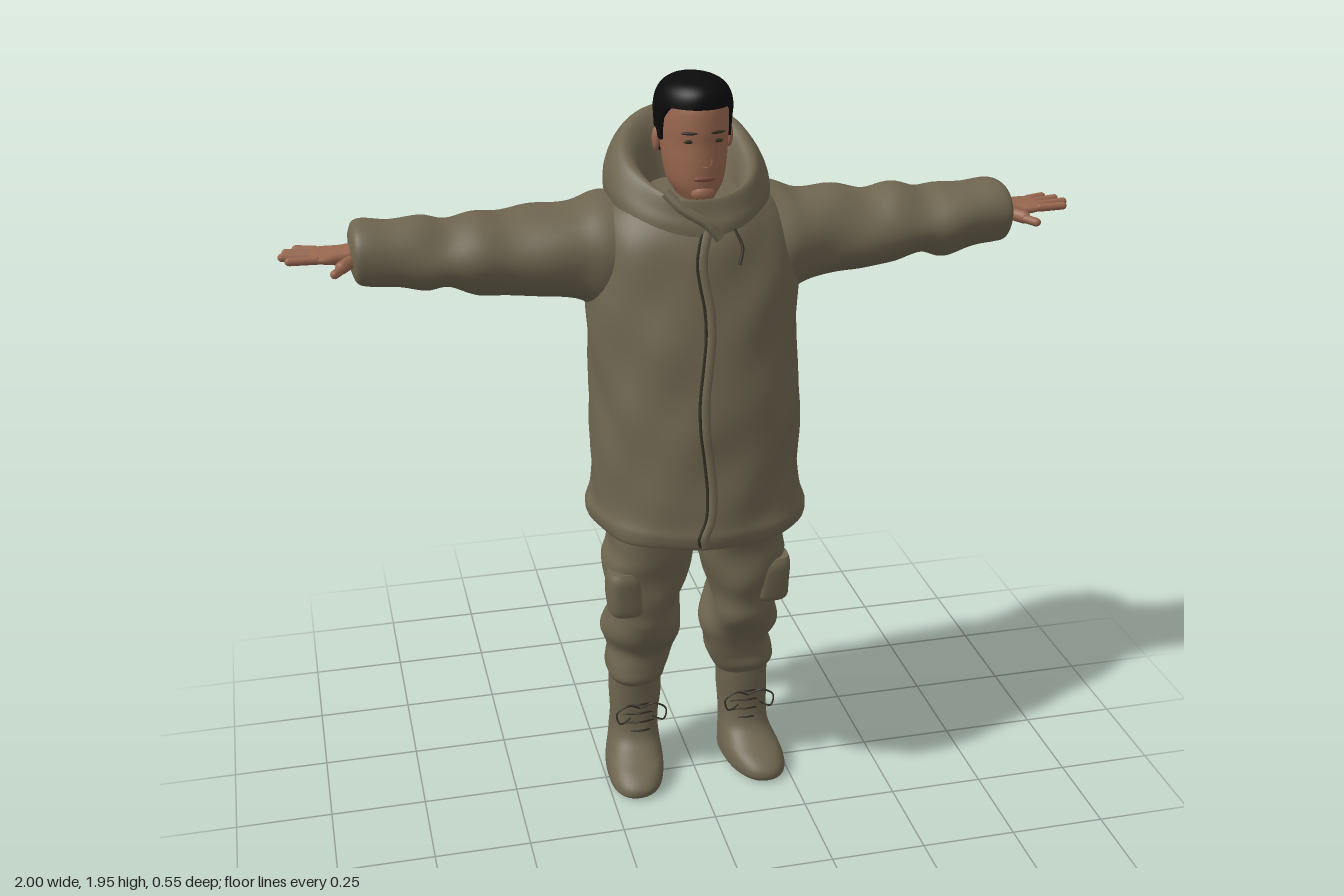
import * as THREE from 'three';

const mat = (name, color, side = THREE.FrontSide) => {
  const m = new THREE.MeshStandardMaterial({ color, side });
  m.name = name;
  return m;
};

// Catmull-Rom sample of a section list at position f (in section units)
function sample(secs, f) {
  const i = Math.min(Math.floor(f), secs.length - 2), t = f - i;
  const at = (k) => secs[Math.max(0, Math.min(secs.length - 1, k))];
  const [a, b, c, d] = [at(i - 1), at(i), at(i + 1), at(i + 2)];
  return b.map((_, k) => b[k] + 0.5 * t * (c[k] - a[k] + t * (2 * a[k] - 5 * b[k] + 4 * c[k] - d[k]
    + t * (3 * (b[k] - c[k]) + d[k] - a[k]))));
}

// Soft cloth folds as a smooth function of position
const folds = (x, y, z) =>
  0.5 * Math.sin(19 * y + 9 * x + 4 * Math.sin(7 * z + 5 * x)) +
  0.35 * Math.sin(31 * x - 17 * y + 13 * z) + 0.3 * Math.sin(43 * z + 37 * y - 11 * x);

// Skin over sections [t, u0, u1, v0, v1, tilt]; axis 'y' uses (u,v)=(x,z), axis 'x' uses (y,z)
function loft(secs, { axis = 'y', n = 40, sub = 5, exp = 2, amp = 0, side = 1, warp, cap = true } = {}) {
  const pos = [], idx = [], rows = (secs.length - 1) * sub;
  const ring = (s, k) => {
    const [t, u0, u1, v0, v1, tilt] = s;
    for (let j = 0; j < n; j++) {
      const a = (j / n) * Math.PI * 2, c = Math.cos(a), q = Math.sin(a);
      const cu = Math.sign(c) * Math.abs(c) ** (2 / exp), cv = Math.sign(q) * Math.abs(q) ** (2 / exp);
      let u = (u0 + u1) / 2 + k * cu * (u1 - u0) / 2, v = (v0 + v1) / 2 + k * cv * (v1 - v0) / 2;
      const w = t + (tilt || 0) * (v - (v0 + v1) / 2);
      const d = k * amp * (axis === 'y' ? folds(u * side, w, v) : folds(w * side, u, v));
      u += c * d; v += q * d;
      const p = axis === 'y' ? new THREE.Vector3(u * side, w, v) : new THREE.Vector3(w * side, u, v);
      if (warp) warp(p);
      pos.push(p.x, p.y, p.z);
    }
  };
  if (cap) { ring(secs[0], 0); ring(secs[0], 1); }
  for (let i = 0; i <= rows; i++) ring(sample(secs, i / sub), 1);
  if (cap) { ring(secs.at(-1), 1); ring(secs.at(-1), 0); }
  const flip = (axis === 'y') !== (side < 0);
  for (let i = 0; i < pos.length / 3 / n - 1; i++) {
    for (let j = 0; j < n; j++) {
      const a = i * n + j, b = i * n + (j + 1) % n, c = a + n, d = b + n;
      if (flip) idx.push(a, c, b, b, c, d);
      else idx.push(a, b, c, b, d, c);
    }
  }
  const g = new THREE.BufferGeometry();
  g.setAttribute('position', new THREE.Float32BufferAttribute(pos, 3));
  g.setIndex(idx);
  g.computeVertexNormals();
  return g;
}

const sym = (y, rx, z0, z1, tilt = 0) => [y, -rx, rx, z0, z1, tilt];

export function createModel() {
  const root = new THREE.Group();
  root.name = 'manInParka';
  const cloth = mat('olive cloth', 0x6e6550, THREE.DoubleSide);
  const dark = mat('dark seam', 0x353026);
  const skin = mat('skin', 0x98674f);
  const lip = mat('lips', 0x7c4a3c);
  const black = mat('black hair', 0x0b0b0c, THREE.DoubleSide);
  const add = (name, geo, m) => {
    const mesh = new THREE.Mesh(geo, m);
    mesh.name = name;
    root.add(mesh);
    return mesh;
  };
  const tube = (name, pts, r, m) => add(name, new THREE.TubeGeometry(
    new THREE.CatmullRomCurve3(pts.map((p) => new THREE.Vector3(...p))), pts.length * 5, r, 6), m);
  const blob = (name, p, s, m) => {
    const mesh = add(name, new THREE.SphereGeometry(1, 14, 10), m);
    mesh.position.set(...p);
    mesh.scale.set(...s);
    return mesh;
  };

  // Coat body with a puffed hem
  const coat = [
    sym(0.825, 0.255, -0.225, 0.245), sym(0.818, 0.275, -0.245, 0.265), sym(0.85, 0.282, -0.255, 0.272),
    sym(0.90, 0.27, -0.245, 0.262), sym(1.05, 0.267, -0.247, 0.25), sym(1.2, 0.266, -0.248, 0.228),
    sym(1.36, 0.265, -0.25, 0.2), sym(1.48, 0.265, -0.25, 0.17), sym(1.57, 0.25, -0.248, 0.145),
    sym(1.63, 0.215, -0.235, 0.11), sym(1.665, 0.15, -0.2, 0.08)];
  add('coatBody', loft(coat, { n: 64, sub: 8, exp: 2.15, amp: 0.006 }), cloth);

  // Front closure line following the coat surface
  const seam = [];
  for (let f = 1.5; f <= 8.6; f += 0.5) {
    const [y, , rx, z0, z1] = sample(coat, f), x = -0.05 + 0.01 * Math.sin(f * 2.3) + 0.004 * f;
    const z = (z0 + z1) / 2 + (z1 - z0) / 2 * (1 - Math.abs(x / rx) ** 2.15) ** (1 / 2.15);
    seam.push([x, y, z + 0.006 * folds(x, y, z)]);
  }
  tube('coatClosure', seam, 0.004, dark);
  tube('closureFlap', seam.map(([x, y, z]) => [x + 0.014, y, z - 0.002]), 0.012, cloth);

  // Hood lying open around the neck: outside, rolled lip, inside
  add('hood', loft([
    sym(1.53, 0.16, -0.25, 0.12, -0.1), sym(1.60, 0.195, -0.27, 0.135, -0.2), sym(1.67, 0.203, -0.275, 0.135, -0.3),
    sym(1.72, 0.19, -0.262, 0.125, -0.42), sym(1.75, 0.165, -0.23, 0.118, -0.46), sym(1.742, 0.14, -0.2, 0.11, -0.46),
    sym(1.70, 0.118, -0.17, 0.1, -0.42), sym(1.62, 0.095, -0.13, 0.08, -0.3)],
  { n: 56, sub: 7, exp: 2.1, amp: 0.005, cap: false }), cloth);
  tube('collarOverlap', [[-0.09, 1.69, 0.092], [-0.055, 1.655, 0.118], [0, 1.62, 0.138], [0.03, 1.585, 0.142]], 0.014, cloth);
  tube('drawcord', [[0.07, 1.6, 0.125], [0.085, 1.56, 0.146], [0.075, 1.52, 0.158]], 0.004, dark);

  // Head
  add('head', loft([
    sym(1.56, 0.06, -0.1, 0.04), sym(1.645, 0.056, -0.09, 0.055), sym(1.662, 0.045, -0.09, 0.092),
    sym(1.70, 0.066, -0.1, 0.107), sym(1.75, 0.076, -0.11, 0.11), sym(1.80, 0.081, -0.12, 0.107),
    sym(1.84, 0.083, -0.12, 0.108), sym(1.89, 0.08, -0.115, 0.1), sym(1.92, 0.06, -0.08, 0.07)],
  { exp: 2.1 }), skin);
  add('nose', loft([
    sym(1.83, 0.009, 0.08, 0.108), sym(1.795, 0.011, 0.08, 0.121), sym(1.768, 0.018, 0.08, 0.135),
    sym(1.752, 0.013, 0.08, 0.115)], { n: 14 }), skin);
  blob('mouth', [0, 1.722, 0.106], [0.026, 0.007, 0.007], lip);
  blob('chin', [0, 1.685, 0.092], [0.03, 0.022, 0.02], skin);

  // Hair cap cut along a hairline: high brow, sideburns, low nape
  const hairline = (z) => z > 0.06 ? 1.888 : z > 0.025 ? 1.85 + (z - 0.025) * 1.08
    : z > -0.01 ? 1.80 : Math.max(1.715, 1.80 + (z + 0.01) * 0.75);
  add('hair', loft([
    sym(1.70, 0.074, -0.115, 0.09), sym(1.76, 0.086, -0.128, 0.1), sym(1.84, 0.093, -0.133, 0.106),
    sym(1.885, 0.094, -0.13, 0.113), sym(1.92, 0.082, -0.113, 0.107), sym(1.941, 0.056, -0.08, 0.08),
    sym(1.95, 0.015, -0.03, 0.03)],
  { n: 48, sub: 6, warp: (p) => { p.y = Math.max(p.y, hairline(p.z)); } }), black);

  for (const s of [1, -1]) {
    const side = s > 0 ? 'left' : 'right';
    const capsule = (name, a, b, r) => {
      const p = new THREE.Vector3(a[0] * s, a[1], a[2]), q = new THREE.Vector3(b[0] * s, b[1], b[2]);
      const d = q.clone().sub(p);
      const mesh = add(name, new THREE.CapsuleGeometry(r, Math.max(0.001, d.length() - 2 * r), 4, 10), skin);
      mesh.position.copy(p).add(q).multiplyScalar(0.5);
      mesh.quaternion.setFromUnitVectors(new THREE.Vector3(0, 1, 0), d.normalize());
    };

    // Face features
    blob(side + 'Ear', [s * 0.09, 1.795, -0.015], [0.01, 0.03, 0.017], skin);
    blob(side + 'Eye', [s * 0.034, 1.812, 0.098], [0.014, 0.005, 0.004], dark);
    blob(side + 'Brow', [s * 0.034, 1.832, 0.099], [0.021, 0.004, 0.005], dark).rotation.y = s * 0.3;

    // Sleeve with gathered cuff
    add(side + 'Sleeve', loft([
      [0.12, 1.39, 1.645, -0.2, 0.06], [0.22, 1.37, 1.65, -0.225, 0.08], [0.29, 1.395, 1.632, -0.215, 0.07],
      [0.38, 1.412, 1.628, -0.205, 0.058], [0.46, 1.42, 1.615, -0.195, 0.052], [0.53, 1.428, 1.626, -0.19, 0.052],
      [0.60, 1.452, 1.612, -0.17, 0.046], [0.66, 1.442, 1.622, -0.168, 0.048], [0.73, 1.46, 1.622, -0.15, 0.042],
      [0.79, 1.468, 1.63, -0.142, 0.042], [0.82, 1.478, 1.622, -0.132, 0.036], [0.832, 1.51, 1.595, -0.105, 0.01]],
    { axis: 'x', amp: 0.007, side: s }), cloth);

    // Hand, palm down
    add(side + 'Palm', loft([
      [0.80, 1.525, 1.58, -0.085, -0.01], [0.85, 1.53, 1.572, -0.085, -0.005], [0.885, 1.537, 1.568, -0.098, 0.005],
      [0.915, 1.543, 1.565, -0.098, 0.002], [0.925, 1.548, 1.56, -0.09, -0.008]],
    { axis: 'x', n: 20, exp: 2.5, side: s }), skin);
    [[0.965, -0.1], [0.99, -0.075], [1.0, -0.042], [0.985, -0.006]].forEach(([x, z], i) =>
      capsule(side + 'Finger' + (i + 1), [0.9, 1.554, -0.085 + i * 0.026], [x, 1.556, z], 0.0105));
    capsule(side + 'ThumbBase', [0.825, 1.548, -0.01], [0.865, 1.543, 0.042], 0.016);
    capsule(side + 'ThumbTip', [0.85, 1.543, 0.03], [0.88, 1.54, 0.075], 0.011);

    // Trouser leg, bunched at the knee and shin
    add(side + 'TrouserLeg', loft([
      [0.285, 0.075, 0.222, -0.152, 0.0], [0.31, 0.065, 0.234, -0.168, 0.022], [0.345, 0.05, 0.232, -0.17, 0.024],
      [0.39, 0.042, 0.224, -0.17, 0.03], [0.44, 0.03, 0.238, -0.175, 0.055], [0.5, 0.042, 0.226, -0.16, 0.085],
      [0.55, 0.045, 0.222, -0.145, 0.092], [0.61, 0.03, 0.235, -0.135, 0.108], [0.68, 0.016, 0.243, -0.138, 0.115],
      [0.73, 0.01, 0.228, -0.135, 0.12], [0.8, 0.0, 0.23, -0.15, 0.13], [0.9, -0.01, 0.23, -0.16, 0.13]],
    { n: 44, sub: 7, exp: 2.2, amp: 0.009, side: s }), cloth);
    add(side + 'ThighPocket', loft([
      [0.55, 0.16, 0.232, 0.01, 0.09], [0.57, 0.15, 0.244, 0.0, 0.105], [0.65, 0.15, 0.246, 0.0, 0.11],
      [0.68, 0.16, 0.238, 0.01, 0.1]], { n: 24, exp: 3, amp: 0.004, side: s }), cloth);

    // Boot: sole, toe box, ankle and shaft
    add(side + 'Boot', loft([
      [0.002, 0.1, 0.235, -0.148, 0.12], [0.014, 0.09, 0.245, -0.156, 0.132], [0.035, 0.088, 0.245, -0.155, 0.128],
      [0.058, 0.088, 0.24, -0.154, 0.1], [0.08, 0.09, 0.232, -0.152, 0.055], [0.11, 0.09, 0.224, -0.15, 0.012],
      [0.16, 0.088, 0.22, -0.148, -0.004], [0.23, 0.082, 0.222, -0.15, -0.002], [0.33, 0.08, 0.222, -0.15, 0.004]],
    { n: 36, exp: 2.3, amp: 0.003, side: s, warp: (p) => { // toes turn out slightly
      p.y = Math.max(p.y, 0);
      if (p.y < 0.12) p.x += s * 0.09 * p.z * (1 - p.y / 0.12);
    } }), cloth);

    // Laces: cross ties and loose bow loops
    for (let i = 0; i < 4; i++) {
      const y = 0.13 + i * 0.028;
      tube(side + 'Lace' + (i + 1), [[s * 0.11, y, -0.02], [s * 0.152, y + 0.012, 0.005], [s * 0.195, y, -0.02]], 0.003, dark);
    }
    for (const k of [-1, 1]) {
      const x = s * 0.152;
      tube(side + 'Bow', [[x, 0.215, 0.006], [x + k * 0.035, 0.235, 0.02], [x + k * 0.068, 0.215, 0.02],
        [x + k * 0.06, 0.185, 0.026], [x + k * 0.03, 0.195, 0.018]], 0.0025, dark);
    }
  }

  // Dark fastening showing below the hem
  const tab = add('waistTab', new THREE.BoxGeometry(0.11, 0.035, 0.009), black);
  tab.position.set(0.115, 0.8, 0.142);
  return root;
}
